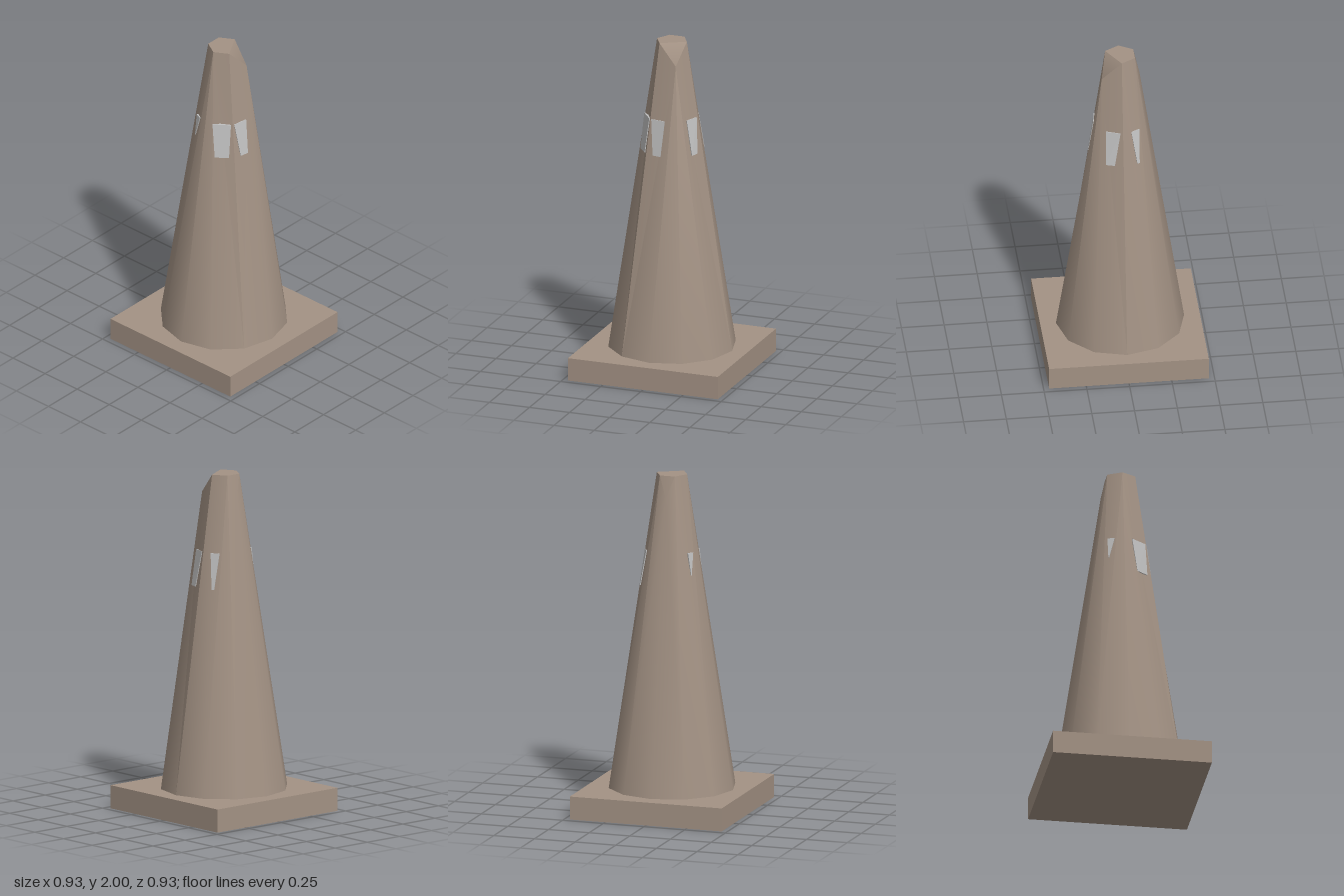
import * as THREE from 'three';
import { toCreasedNormals } from 'three/addons/utils/BufferGeometryUtils.js';

const clay = new THREE.MeshStandardMaterial({ color: 0xa39284 });
clay.name = 'dull clay';
const silver = new THREE.MeshStandardMaterial({ color: 0xc0c0c0 });
silver.name = 'pale grey';

function geometryFrom(triangles) {
  const g = new THREE.BufferGeometry();
  g.setAttribute('position', new THREE.Float32BufferAttribute(triangles.flat(2), 3));
  g.computeVertexNormals();
  return g;
}

// Tapered body: a twelve-sided foot joined to an uneven, chipped tip
function bodyGeometry() {
  const foot = (k) => {
    const a = (k % 12) * Math.PI / 6;
    return [0.375 * Math.cos(a), 0.135, 0.375 * Math.sin(a)];
  };
  const C = [0.082, 2, 0.046], D = [0, 2, 0.093], E = [-0.082, 2, 0.046];
  const W = [-0.113, 1.87, 0], F = [-0.082, 2, -0.046], A = [0, 2, -0.093];
  const B = [0.115, 1.88, -0.068];
  // Each tip corner fans out to the foot corners up to the given index
  const fans = [[C, 1], [D, 4], [E, 5], [W, 7], [F, 8], [A, 9], [B, 13]];
  const tris = [];
  let k = 1;
  fans.forEach(([tip, end], i) => {
    for (; k < end; k++) tris.push([tip, foot(k + 1), foot(k)]);
    tris.push([tip, fans[(i + 1) % fans.length][0], foot(k)]);
  });
  // Flat top and the two chipped corners
  tris.push([A, F, E], [A, E, D], [A, D, C], [A, C, B], [E, F, W]);
  return toCreasedNormals(geometryFrom(tris), 0.6);
}

// Band fragment: corners run top right, top left, bottom left, bottom right
function fragmentGeometry(o) {
  const n = o.map(([x, y, z]) => [x * 0.85, y, z * 0.85]);
  const tris = [[o[0], o[1], o[2]], [o[0], o[2], o[3]]];
  for (let i = 0; i < 4; i++) {
    const j = (i + 1) % 4;
    tris.push([o[i], n[i], n[j]], [o[i], n[j], o[j]]);
  }
  return geometryFrom(tris);
}

export function createModel() {
  const model = new THREE.Group();
  const add = (name, geometry, material) => {
    const mesh = new THREE.Mesh(geometry, material);
    mesh.name = name;
    model.add(mesh);
    return mesh;
  };

  // Square foot plate
  add('basePlate', new THREE.BoxGeometry(0.934, 0.137, 0.934), clay).position.y = 0.0685;
  add('coneBody', bodyGeometry(), clay);

  // Visible fragments of the reflective band
  const t = 1.55, b = 1.34;
  const fragments = {
    bandFrontLeft: [[0.135, t, 0.09], [0.048, t, 0.154], [0.077, b, 0.167], [0.143, b, 0.116]],
    bandLeft: [[0.159, t, -0.016], [0.146, t, 0.073], [0.178, b, 0.052], [0.187, b, 0]],
    bandBackLeft: [[0.015, t, -0.16], [0.097, t, -0.13], [0.1, b, -0.164], [0.05, b, -0.179]],
    bandBackRight: [[-0.1, t, -0.124], [-0.05, t, -0.149], [-0.083, b, -0.171], [-0.097, b, -0.164]],
    bandFrontRight: [[-0.055, t, 0.15], [-0.095, t, 0.132], [-0.092, 1.42, 0.15], [-0.088, 1.42, 0.152]],
  };
  for (const [name, corners] of Object.entries(fragments)) {
    // Order the corners by angle so every fragment faces outward
    const [p, q, r, s] = corners;
    const outward = p[0] * q[2] - p[2] * q[0] > 0;
    add(name, fragmentGeometry(outward ? corners : [q, p, s, r]), silver);
  }
  return model;
}
